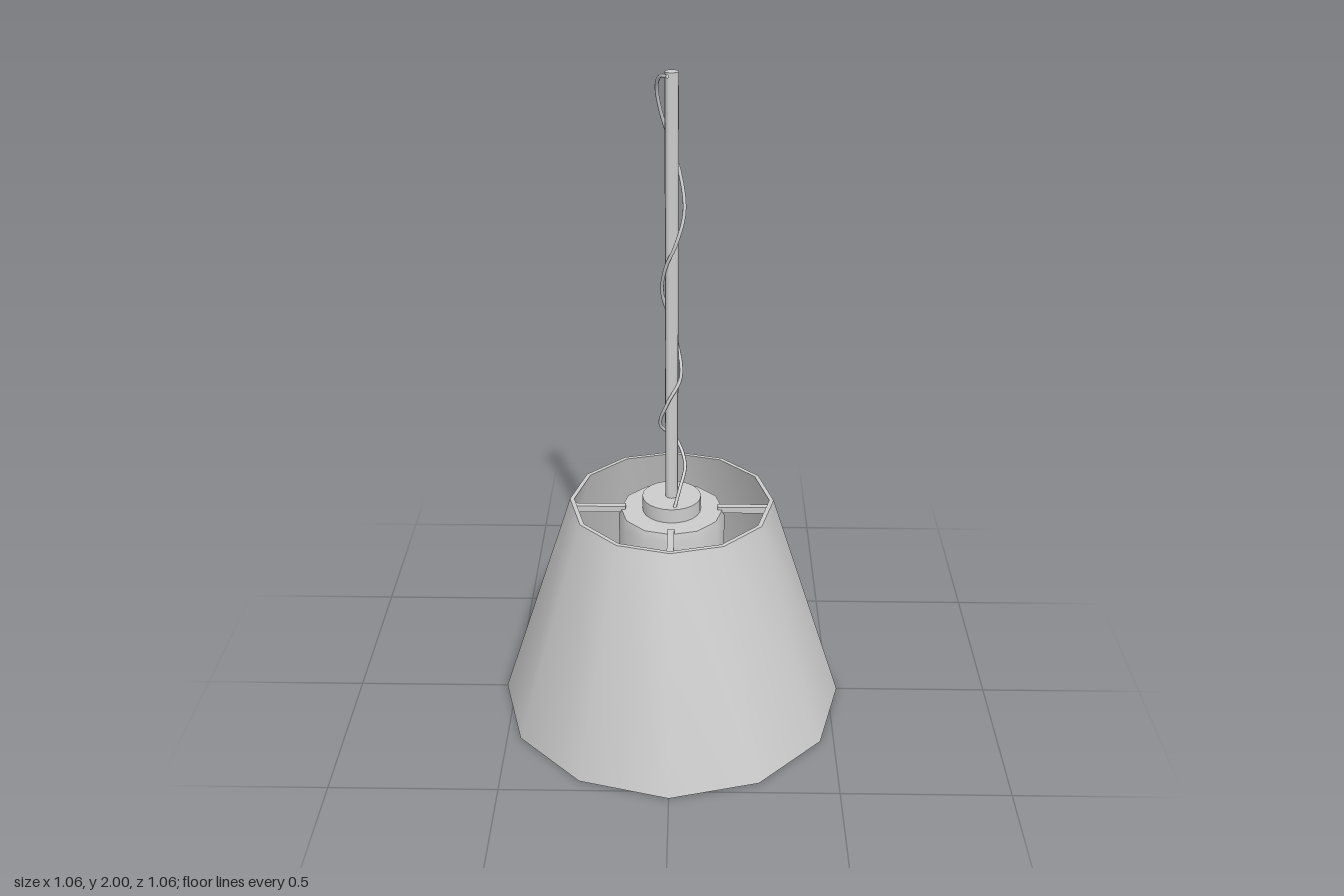
import * as THREE from 'three';
import { toCreasedNormals } from 'three/addons/utils/BufferGeometryUtils.js';

const material = new THREE.MeshStandardMaterial({ color: 0xcccccc });

export function createModel() {
  const model = new THREE.Group();
  model.name = 'pendantLamp';

  const add = (name, geometry, x = 0, y = 0, z = 0) => {
    const mesh = new THREE.Mesh(geometry, material);
    mesh.name = name;
    mesh.position.set(x, y, z);
    model.add(mesh);
    return mesh;
  };
  // Turned part: smooth around, sharp at profile corners
  const turned = (points, sides) => toCreasedNormals(
    new THREE.LatheGeometry(points.map(([r, y]) => new THREE.Vector2(r, y)), sides), 0.8);

  // Tapered twelve-sided shade with wall thickness
  add('shade', turned([[0.515, 0], [0.53, 0], [0.307, 0.695], [0.294, 0.695], [0.515, 0]], 12));

  // Socket housing inside the shade, with a cap on top
  add('socketHousing', turned([[0, 0.175], [0.152, 0.175], [0.16, 0.23], [0.16, 0.64], [0.154, 0.665], [0, 0.665]], 12));
  add('socketCap', turned([[0, 0.66], [0.088, 0.66], [0.088, 0.71], [0, 0.71]], 24));

  // Four spokes joining the housing to the shade rim
  for (let i = 0; i < 4; i++) {
    const a = i * Math.PI / 2;
    const spoke = add('spoke', new THREE.BoxGeometry(0.158, 0.02, 0.02),
      Math.cos(a) * 0.218, 0.665, Math.sin(a) * 0.218);
    spoke.rotation.y = -a;
  }

  // Hanging rod
  add('rod', toCreasedNormals(new THREE.CylinderGeometry(0.019, 0.019, 1.29, 16), 0.8), 0, 1.345, 0);

  // Loose cable winding around the rod
  const path = [
    [0.01, 0.708, 0.07], [0.025, 0.76, 0.045], [0.04, 0.82, 0.008], [0.012, 0.89, -0.028],
    [-0.033, 0.945, -0.004], [-0.012, 1.03, 0.027], [0.027, 1.11, 0.008], [0.004, 1.24, -0.036],
    [-0.027, 1.36, -0.012], [-0.016, 1.45, 0.022], [0.012, 1.52, 0.036], [0.035, 1.61, 0.018],
    [0.022, 1.71, -0.014], [-0.004, 1.79, -0.027], [-0.03, 1.88, -0.014], [-0.04, 1.95, 0.008],
    [-0.03, 1.988, 0.045], [-0.01, 1.995, 0.078],
  ].map((p) => new THREE.Vector3(...p));
  const curve = new THREE.CatmullRomCurve3(path);
  add('cable', new THREE.TubeGeometry(curve, 120, 0.005, 8));

  // Cable end caps
  for (const t of [0, 1]) {
    const end = add('cableEnd', new THREE.CircleGeometry(0.005, 8), ...curve.getPoint(t).toArray());
    const outward = curve.getTangent(t).multiplyScalar(t ? 1 : -1);
    end.quaternion.setFromUnitVectors(new THREE.Vector3(0, 0, 1), outward);
  }

  return model;
}
